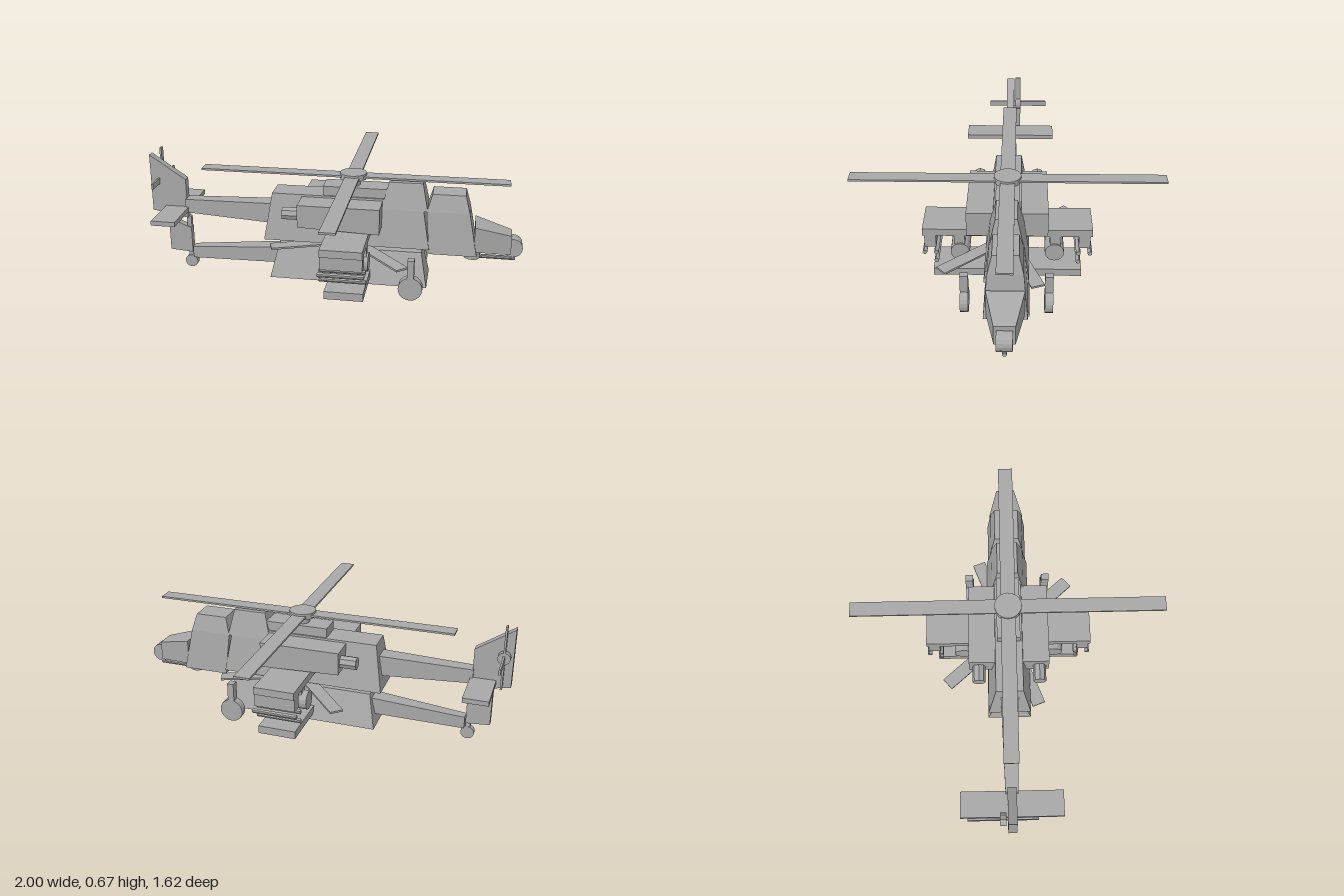
import * as THREE from 'three';

export function createModel() {
  const group = new THREE.Group();
  const grey = new THREE.MeshStandardMaterial({ color: 0xa8a8a8, flatShading: true });

  function add(name, geometry) {
    const mesh = new THREE.Mesh(geometry, grey);
    mesh.name = name;
    group.add(mesh);
    return mesh;
  }
  // Plain box given by its ranges on each axis
  function box(name, x0, x1, y0, y1, z0, z1) {
    const mesh = add(name, new THREE.BoxGeometry(x1 - x0, y1 - y0, z1 - z0));
    mesh.position.set((x0 + x1) / 2, (y0 + y1) / 2, (z0 + z1) / 2);
    return mesh;
  }
  // Box whose corners are moved by a rule: place(front, top, side) -> [x, y, z]
  function block(name, place) {
    const geometry = new THREE.BoxGeometry(2, 2, 2);
    const p = geometry.attributes.position;
    for (let i = 0; i < p.count; i++) {
      p.setXYZ(i, ...place(p.getX(i) > 0, p.getY(i) > 0, Math.sign(p.getZ(i))));
    }
    geometry.computeVertexNormals();
    return add(name, geometry);
  }
  // Section narrowing upward: [rear x, front x, y, half width] at bottom and top
  function frustum(name, bottom, top) {
    return block(name, (f, t, s) => {
      const r = t ? top : bottom;
      return [f ? r[1] : r[0], r[2], s * r[3]];
    });
  }
  // Section tapering lengthwise: [x, low y, high y, half width] at rear and front
  function taper(name, rear, front) {
    return block(name, (f, t, s) => {
      const r = f ? front : rear;
      return [r[0], t ? r[2] : r[1], s * r[3]];
    });
  }
  function cylinder(name, axis, radius, length, x, y, z, sides = 16) {
    const geometry = new THREE.CylinderGeometry(radius, radius, length, sides);
    if (axis === 'x') geometry.rotateZ(Math.PI / 2);
    if (axis === 'z') geometry.rotateX(Math.PI / 2);
    add(name, geometry).position.set(x, y, z);
  }

  // Fuselage and stepped cockpit
  frustum('upperFuselage', [-0.355, 0.3, 0.24, 0.112], [-0.315, 0.29, 0.49, 0.07]);
  frustum('rearCabin', [0.24, 0.52, 0.24, 0.112], [0.265, 0.485, 0.44, 0.085]);
  frustum('rearCanopy', [0.265, 0.505, 0.44, 0.085], [0.3, 0.475, 0.58, 0.053]);
  frustum('frontCabin', [0.52, 0.765, 0.215, 0.105], [0.5, 0.72, 0.44, 0.085]);
  frustum('frontCanopy', [0.5, 0.72, 0.44, 0.085], [0.525, 0.695, 0.53, 0.063]);
  taper('nose', [0.75, 0.235, 0.37, 0.092], [0.94, 0.215, 0.32, 0.05]);
  cylinder('noseSensor', 'z', 0.05, 0.075, 0.95, 0.248, 0);
  frustum('mastCowling', [-0.045, 0.29, 0.44, 0.06], [-0.045, 0.29, 0.54, 0.06]);

  // Lower hull with its own tail
  frustum('lowerHull', [-0.325, 0.515, 0.023, 0.118], [-0.285, 0.48, 0.2, 0.062]);
  taper('lowerTailBoom', [-0.785, 0.065, 0.13, 0.025], [-0.285, 0.08, 0.17, 0.045]);
  taper('lowerFin', [-0.915, 0.105, 0.29, 0.02], [-0.79, 0.095, 0.24, 0.02]);

  // Upper tail
  taper('upperTailBoom', [-0.81, 0.335, 0.41, 0.032], [-0.325, 0.31, 0.42, 0.046]);
  taper('upperFin', [-1, 0.335, 0.65, 0.022], [-0.805, 0.3, 0.52, 0.022]);
  box('stabilizer', -0.925, -0.795, 0.34, 0.365, -0.26, 0.26);

  // Tail rotor
  cylinder('tailRotorHub', 'z', 0.032, 0.03, -0.955, 0.505, -0.045);
  box('tailRotorBlade', -0.96, -0.95, 0.335, 0.675, -0.06, -0.03);
  box('tailRotorBlade', -0.96, -0.95, 0.49, 0.52, -0.215, 0.125);

  // Main rotor
  cylinder('rotorMast', 'y', 0.037, 0.06, 0.107, 0.555, 0);
  cylinder('rotorHub', 'y', 0.07, 0.032, 0.107, 0.59, 0, 24);
  box('rotorBlade', -0.705, 0.915, 0.585, 0.595, -0.038, 0.038);
  box('rotorBlade', 0.069, 0.145, 0.585, 0.595, -0.81, 0.81);

  // Small rotor between the two hulls
  cylinder('lowerRotorMast', 'y', 0.037, 0.07, 0.107, 0.215, 0);
  for (const angle of [-0.845, 0.36]) {
    const blade = add('lowerRotorBlade', new THREE.BoxGeometry(0.89, 0.01, 0.07));
    blade.position.set(0.107, 0.22, 0);
    blade.rotation.y = angle;
  }

  // Wings
  box('upperWing', 0, 0.215, 0.305, 0.345, -0.44, 0.44);
  box('lowerWing', 0.015, 0.215, 0.055, 0.097, -0.39, 0.39);

  // Parts on both sides
  for (const s of [-1, 1]) {
    const sideBox = (name, x0, x1, y0, y1, z, w) =>
      box(name, x0, x1, y0, y1, s * z - w / 2, s * z + w / 2);
    block('engine', (f, t, side) => [
      f ? 0.27 : -0.155, t ? 0.48 : f ? 0.345 : 0.36, s * 0.135 + side * 0.073]);
    cylinder('exhaust', 'x', 0.034, 0.1, -0.19, 0.415, s * 0.157, 8);
    sideBox('outerPylon', 0.0, 0.215, 0.235, 0.305, 0.4, 0.06);
    sideBox('innerPylon', 0.02, 0.215, 0.235, 0.305, 0.248, 0.055);
    cylinder('weaponPod', 'x', 0.05, 0.235, 0.107, 0.212, s * 0.245);
    for (const [y, z] of [[0.207, 0.43], [0.207, 0.37], [0.155, 0.37]]) {
      cylinder('missile', 'x', 0.012, 0.235, 0.107, y, s * z, 10);
    }
    sideBox('wheelStrut', 0.42, 0.455, 0.06, 0.225, 0.214, 0.042);
    cylinder('wheel', 'z', 0.063, 0.042, 0.438, 0.066, s * 0.214, 20);
  }

  // Gun under the nose
  cylinder('gunTurret', 'y', 0.042, 0.06, 0.742, 0.2, 0);
  cylinder('gunBarrel', 'x', 0.011, 0.22, 0.857, 0.178, 0, 10);

  // Tail wheel
  box('tailWheelStrut', -0.815, -0.79, 0.04, 0.305, -0.012, 0.012);
  cylinder('tailWheel', 'z', 0.035, 0.03, -0.802, 0.038, 0);

  return group;
}
